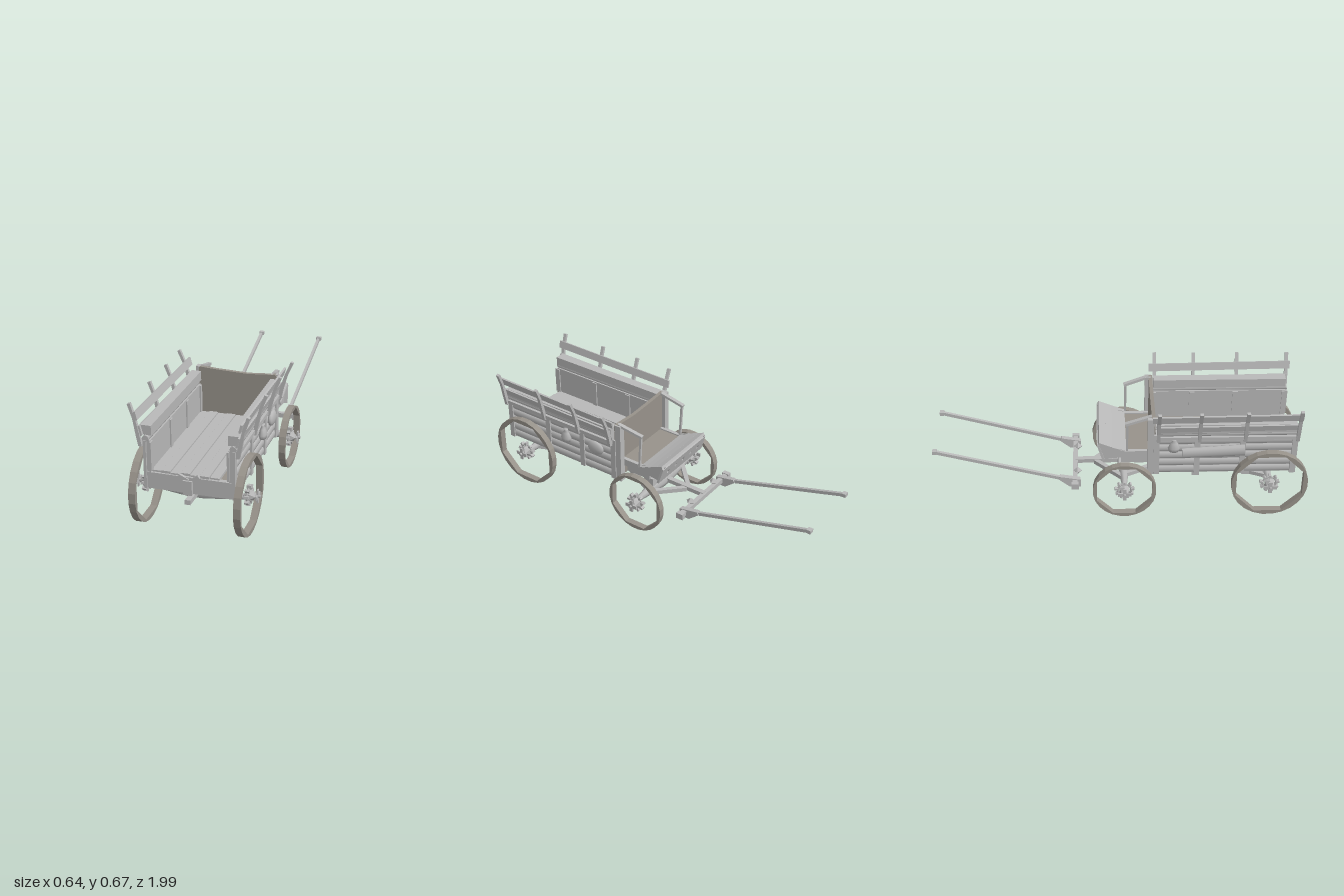
import * as THREE from 'three';

const wood = new THREE.MeshStandardMaterial({ color: 0xb8b8b8 });
wood.name = 'weathered grey wood';
const dark = new THREE.MeshStandardMaterial({ color: 0x97928a });
dark.name = 'brown grey wood';
const V = (x, y, z) => new THREE.Vector3(x, y, z);

function add(parent, name, geo, mat, x = 0, y = 0, z = 0) {
  const m = new THREE.Mesh(geo, mat);
  m.name = name;
  m.position.set(x, y, z);
  parent.add(m);
  return m;
}
const box = (p, name, mat, w, h, d, x, y, z) => add(p, name, new THREE.BoxGeometry(w, h, d), mat, x, y, z);

// Square beam running from a to b
function beam(p, name, a, b, w, h = w, mat = wood) {
  const m = box(p, name, mat, w, h, a.distanceTo(b), 0, 0, 0);
  m.position.copy(a).add(b).multiplyScalar(0.5);
  m.lookAt(b);
  return m;
}
const polygon = pts => new THREE.Shape(pts.map(([x, y]) => new THREE.Vector2(x, y)));
function ring(r, n) {
  return Array.from({ length: n }, (_, i) => {
    const a = (i + 0.5) / n * Math.PI * 2;
    return [Math.cos(a) * r, Math.sin(a) * r];
  });
}
const extrude = (shape, depth) =>
  new THREE.ExtrudeGeometry(shape, { depth, bevelEnabled: false }).translate(0, 0, -depth / 2);

// Thin rim with an eight-sided inner edge, plus a rough hub on its stub
function wheel(p, name, s, r, z) {
  const g = new THREE.Group();
  g.name = name;
  g.position.set(s * 0.262, r, z);
  const rim = polygon(ring(r, 24));
  rim.holes.push(polygon(ring(r * 0.94, 8)));
  add(g, 'rim', extrude(rim, 0.035).rotateY(Math.PI / 2), dark);
  const nut = add(g, 'hub', new THREE.IcosahedronGeometry(0.032, 0), wood, s * 0.005);
  nut.scale.x = 1.1;
  add(g, 'hubBand', new THREE.TorusGeometry(0.037, 0.006, 4, 9).rotateY(Math.PI / 2), wood);
  for (let i = 0; i < 9; i++) {
    const a = i / 9 * Math.PI * 2;
    const peg = box(g, 'spokeStub', wood, 0.022, 0.018, 0.012, 0, Math.cos(a) * 0.044, Math.sin(a) * 0.044);
    peg.rotation.x = a;
  }
  add(g, 'axleStub', new THREE.CylinderGeometry(0.008, 0.008, 0.06, 6).rotateZ(Math.PI / 2), wood, s * 0.03);
  box(g, 'linchpin', wood, 0.007, 0.07, 0.02, s * 0.045, 0, 0);
  box(g, 'linchpinCross', wood, 0.007, 0.02, 0.07, s * 0.045, 0, 0);
  p.add(g);
}

function side(p, s) {
  const g = new THREE.Group();
  g.name = s > 0 ? 'leftSide' : 'rightSide';
  p.add(g);
  box(g, 'wall', wood, 0.018, 0.25, 0.74, s * 0.204, 0.365, 0.55);
  // Rounded planks outside and inside the wall
  for (let i = 0; i < 5; i++) {
    const geo = new THREE.CylinderGeometry(0.023, 0.023, 0.74, 10).rotateX(Math.PI / 2).scale(0.55, 1, 1);
    add(g, 'sidePlank', geo, wood, s * 0.21, 0.264 + i * 0.046, 0.55);
  }
  [0.915, 0.64, 0.4, 0.185].forEach((z, i) => {
    box(g, 'sidePost', wood, 0.014, 0.25, 0.03, s * 0.221, 0.365, z);
    box(g, 'innerPost', wood, 0.01, 0.15, 0.03, s * 0.193, 0.41, z);
    // Curved, outward-leaning stake
    const d = i * 0.005;
    const stake = polygon([[0.232, 0.46], [0.25, 0.46], [0.262, 0.52], [0.276 + d / 2, 0.6], [0.3 + d, 0.67],
      [0.285 + d, 0.675], [0.263 + d / 2, 0.605], [0.245, 0.53]].map(([x, y]) => [s * x, y]));
    add(g, 'stake', extrude(stake, 0.018), wood, 0, 0, z + 0.008);
  });
  box(g, 'topRail', wood, 0.052, 0.05, 0.73, s * 0.216, 0.54, 0.55);
  add(g, 'railLog', new THREE.CylinderGeometry(0.017, 0.017, 0.74, 8).rotateX(Math.PI / 2), wood, s * 0.217, 0.5, 0.555);
  box(g, 'underRail', wood, 0.045, 0.02, 0.73, s * 0.222, 0.478, 0.55);
  // Leaning guard boards
  [[0.257, 0.612, 0.042, 0.78, 0.55], [0.24, 0.535, 0.05, 0.74, 0.56]].forEach(([x, y, h, l, z]) => {
    const b = box(g, 'guardBoard', wood, 0.01, h, l, s * x, y, z);
    b.rotation.z = -s * 0.25;
    b.rotation.x = -0.012;
  });
  // Corner post and driver's handrail
  box(g, 'cornerPost', wood, 0.035, 0.35, 0.035, s * 0.205, 0.41, 0.155);
  beam(g, 'handPost', V(s * 0.19, 0.36, 0.03), V(s * 0.19, 0.545, 0.03), 0.012);
  beam(g, 'handRail', V(s * 0.195, 0.585, 0.16), V(s * 0.19, 0.545, 0.02), 0.022, 0.014);
  box(g, 'seatSide', wood, 0.02, 0.04, 0.2, s * 0.18, 0.345, 0.06);
  // Hanging pouch
  const pouch = new THREE.LatheGeometry([[0, -0.04], [0.026, -0.03], [0.033, -0.008], [0.02, 0.022], [0.01, 0.036], [0.016, 0.046], [0, 0.046]]
    .map(([x, y]) => new THREE.Vector2(x, y)), 10).scale(0.65, 1, 1);
  add(g, 'pouch', pouch, wood, s * 0.24, s > 0 ? 0.405 : 0.43, s > 0 ? 0.5 : 0.275);
}

export function createModel() {
  const root = new THREE.Group();
  root.name = 'wagon';
  const body = new THREE.Group();
  body.name = 'body';
  body.position.x = 0.008;
  root.add(body);

  for (const s of [-1, 1]) {
    side(body, s);
    wheel(root, 'tailWheel', s, 0.205, 0.79);
    wheel(root, 'shaftWheel', s, 0.17, 0.015);
  }
  // Luggage: bedroll on one side, round bundle on the other
  const roll = new THREE.CylinderGeometry(0.034, 0.03, 0.33, 10).rotateX(Math.PI / 2).scale(0.6, 1, 1);
  add(body, 'bedroll', roll, wood, -0.235, 0.39, 0.485).rotation.x = -0.05;
  const bundle = new THREE.SphereGeometry(0.045, 12, 8).scale(0.4, 0.9, 1.2);
  add(body, 'bundle', bundle, wood, 0.232, 0.4, 0.3);

  // Floor
  box(body, 'floorBase', dark, 0.39, 0.075, 0.72, 0, 0.282, 0.54);
  for (let i = 0; i < 8; i++) {
    if (i === 7) continue;
    const x = -0.172 + i * 0.049;
    box(body, 'floorPlank', wood, 0.046, 0.014, 0.73 + (i % 3) * 0.006, x, 0.327 + (i % 2) * 0.004, 0.545);
  }
  box(body, 'tailBeam', wood, 0.45, 0.085, 0.025, -0.006, 0.283, 0.91);
  box(body, 'tailBlock', wood, 0.045, 0.075, 0.035, -0.006, 0.275, 0.922);
  for (const s of [-1, 1])
    beam(body, 'tailBrace', V(-0.006, 0.305, 0.922), V(s * 0.05, 0.333, 0.922), 0.015, 0.018);

  // Tall panel behind the driver, with a sagging top edge
  const panel = polygon([[-0.205, 0.25], [0.215, 0.25], [0.22, 0.575], [0.212, 0.586], [0.065, 0.575], [-0.1, 0.581], [-0.2, 0.587], [-0.205, 0.582]]);
  add(body, 'endPanel', extrude(panel, 0.02), dark, 0, 0, 0.168);

  // Driver's platform and sloping footboard
  box(body, 'seatBoard', dark, 0.35, 0.012, 0.16, 0, 0.352, 0.085);
  box(body, 'seatBox', wood, 0.3, 0.05, 0.15, 0, 0.288, 0.075);
  for (let i = 0; i < 4; i++) {
    const plank = box(body, 'footPlank', wood, 0.4, 0.014, 0.04, 0.005, 0.366 + i * 0.015, 0.005 - i * 0.036);
    plank.rotation.x = 0.3 + i * 0.04;
  }
  const dash = polygon([[-0.2, 0], [0.21, 0], [0.205, 0.098], [-0.195, 0.098]]);
  for (let i = -2; i <= 2; i++) {
    const h = i % 2 ? 0.016 : 0.012, x = i * 0.07;
    dash.holes.push(polygon(i % 2 ? [[x, 0.05 - h], [x + 0.01, 0.05], [x, 0.05 + h], [x - 0.01, 0.05]]
      : [[x - 0.008, 0.05 - h], [x + 0.008, 0.05 - h], [x + 0.008, 0.05 + h], [x - 0.008, 0.05 + h]]));
  }
  add(body, 'dashboard', extrude(dash, 0.012), wood, 0, 0.315, -0.095).rotation.x = -0.3;
  for (const s of [-1, 1]) {
    const cheek = polygon([[-0.02, 0.33], [0.095, 0.315], [0.128, 0.415], [-0.02, 0.372]]);
    add(body, 'footCheek', extrude(cheek, 0.012).rotateY(Math.PI / 2), wood, s * 0.185, 0, 0);
  }

  // Axles: swollen in the middle, tapering to the hubs
  const taper = [[0, -0.25], [0.014, -0.25], [0.022, -0.2], [0.042, -0.04], [0.042, 0.04], [0.022, 0.2], [0.014, 0.25], [0, 0.25]]
    .map(([x, y]) => new THREE.Vector2(x, y));
  const axle = new THREE.LatheGeometry(taper, 8).rotateZ(Math.PI / 2).scale(1, 1, 0.8);
  add(root, 'tailAxle', axle, wood, 0, 0.193, 0.79);
  add(root, 'shaftAxle', axle, wood, 0, 0.178, 0.015);
  box(root, 'bolster', wood, 0.3, 0.05, 0.06, 0, 0.24, 0.015);
  box(root, 'kingPost', wood, 0.05, 0.1, 0.05, 0, 0.22, 0.1);
  [0.4, 0.67].forEach(z => box(root, 'crossBearer', wood, 0.36, 0.045, 0.04, 0, 0.222, z));

  // Central pole and its diagonal braces
  beam(root, 'pole', V(0, 0.197, 0.935), V(0, 0.182, 0.55), 0.028, 0.024);
  beam(root, 'pole', V(0, 0.182, 0.56), V(0, 0.178, -0.25), 0.028, 0.024);
  for (const s of [-1, 1]) {
    beam(root, 'tailDiagonal', V(0, 0.18, 0.4), V(s * 0.18, 0.19, 0.79), 0.022);
    beam(root, 'axleDiagonal', V(s * 0.17, 0.178, 0.015), V(s * 0.01, 0.175, -0.14), 0.024);
    beam(root, 'axleDiagonal', V(s * 0.15, 0.185, 0.015), V(0, 0.182, 0.3), 0.022);
    // Shaft with its bracket, end knob and bolt
    const bracket = polygon([[0.22, 0.14], [0.28, 0.14], [0.34, 0.19], [0.33, 0.205], [0.22, 0.185]]);
    add(root, 'shaftBracket', extrude(bracket, 0.026).rotateY(Math.PI / 2), wood, s * 0.178);
    beam(root, 'shaft', V(s * 0.178, 0.178, -0.28), V(s * 0.183, 0.378, -0.99), 0.016, 0.018);
    box(root, 'shaftKnob', wood, 0.028, 0.02, 0.024, s * 0.183, 0.378, -0.988);
    add(root, 'bolt', new THREE.OctahedronGeometry(0.024, 0), wood, s * 0.112, 0.19, -0.236);
    box(root, 'crossbarEnd', wood, 0.025, 0.034, 0.04, s * 0.225, 0.172, -0.25);
  }
  box(root, 'crossbar', wood, 0.46, 0.026, 0.026, 0, 0.172, -0.25);
  return root;
}
